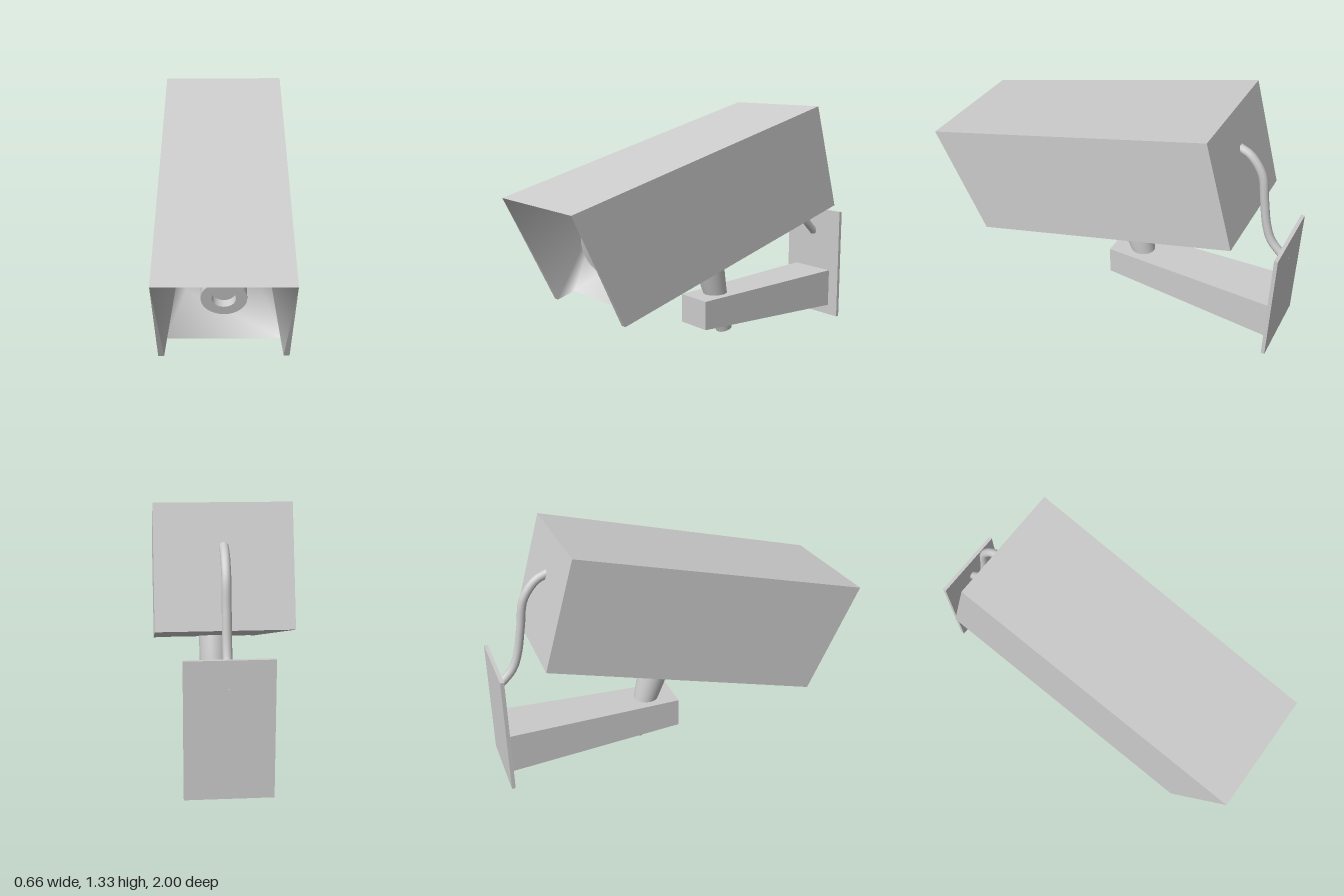
import * as THREE from 'three';

const grey = new THREE.MeshStandardMaterial({ color: 0xcccccc });
const greyThin = new THREE.MeshStandardMaterial({ color: 0xcccccc, side: THREE.DoubleSide });

function mesh(name, geometry, material = grey) {
  const m = new THREE.Mesh(geometry, material);
  m.name = name;
  return m;
}

// Mirrored solid: corner i of the +x half becomes index 2i, its mirror 2i + 1.
// halfFaces are mirrored triangles; spans are quads bridging corners a and b across x.
function mirrored(corners, halfFaces, spans, flat) {
  const pos = corners.flatMap(([x, y, z]) => [x, y, z, -x, y, z]);
  const index = [];
  for (const [a, b, c] of halfFaces) {
    index.push(2 * a, 2 * b, 2 * c, 2 * a + 1, 2 * c + 1, 2 * b + 1);
  }
  for (const [a, b] of spans) {
    index.push(2 * a, 2 * b, 2 * b + 1, 2 * a, 2 * b + 1, 2 * a + 1);
  }
  let g = new THREE.BufferGeometry();
  g.setAttribute('position', new THREE.Float32BufferAttribute(pos, 3));
  g.setIndex(index);
  if (flat) g = g.toNonIndexed();
  g.computeVertexNormals();
  return g;
}

function lathe(points, segments = 32) {
  return new THREE.LatheGeometry(points.map(([r, y]) => new THREE.Vector2(r, y)), segments);
}

export function createModel() {
  const model = new THREE.Group();
  model.name = 'securityCamera';

  // Housing corners on the +x side
  const roofFront = [0.33, 0.89, 1];
  const roofBack = [0.33, 1.325, -0.625];
  const floorBack = [0.33, 0.745, -0.79];
  const wingOuter = [0.33, 0.31, 0.715];
  const wingInner = [0.3, 0.31, 0.715];
  const floorFront = [0.297, 0.34, 0.61];
  const recessBottom = [0.2, 0.49, 0.385];
  const recessTop = [0.2, 0.835, 0.475];

  // Outer housing, tilted downwards, open at the front
  model.add(mesh('housing', mirrored(
    [roofFront, roofBack, floorBack, wingOuter, wingInner, floorFront],
    [[0, 3, 2], [0, 2, 1], [0, 4, 3], [2, 3, 5], [3, 4, 5]],
    [[0, 1], [1, 2], [2, 5]], true), greyThin));

  // Funnel-shaped recess around the lens
  model.add(mesh('lensRecess', mirrored(
    [roofFront, wingInner, floorFront, recessBottom, recessTop],
    [[0, 4, 1], [1, 4, 2], [2, 4, 3]],
    [[2, 3], [3, 4], [4, 0]], false), greyThin));

  // Lens barrel with a sunken glass disc; doubled points keep the rims sharp
  const lens = mesh('lensBarrel', lathe([
    [0.115, -0.02], [0.115, 0.24], [0.115, 0.24], [0.06, 0.24],
    [0.06, 0.24], [0.06, 0.195], [0.06, 0.195], [0, 0.195],
  ]), greyThin);
  lens.position.set(0, 0.683, 0.438);
  lens.rotation.x = Math.PI / 2 + 0.265;
  model.add(lens);

  // Tilted post passing through the arm
  const post = mesh('post', lathe([
    [0, 0], [0.047, 0], [0.047, 0], [0.055, 0.07], [0.068, 0.25],
    [0.081, 0.37], [0.083, 0.519], [0.083, 0.519], [0, 0.519],
  ]));
  post.position.set(0, 0.032, -0.22);
  post.rotation.x = 0.283;
  model.add(post);

  // Bracket arm: a box widening towards the wall
  const armGeometry = new THREE.BoxGeometry(0.21, 0.165, 0.99);
  const p = armGeometry.attributes.position;
  for (let i = 0; i < p.count; i++) {
    if (p.getZ(i) < 0) p.setXY(i, p.getX(i) * 1.333, p.getY(i) * 1.364);
  }
  armGeometry.computeVertexNormals();
  const arm = mesh('bracketArm', armGeometry);
  arm.position.set(0, 0.173, -0.485);
  model.add(arm);

  // Wall plate
  const plate = mesh('wallPlate', new THREE.BoxGeometry(0.42, 0.665, 0.02));
  plate.position.set(0, 0.3325, -0.99);
  model.add(plate);

  // Cable from the housing back to the wall plate
  const cablePath = new THREE.CatmullRomCurve3([
    [1.125, -0.67], [1.095, -0.735], [1.0, -0.805], [0.85, -0.832],
    [0.7, -0.86], [0.61, -0.895], [0.515, -0.985],
  ].map(([y, z]) => new THREE.Vector3(0, y, z)));
  model.add(mesh('cable', new THREE.TubeGeometry(cablePath, 28, 0.023, 12)));

  return model;
}
